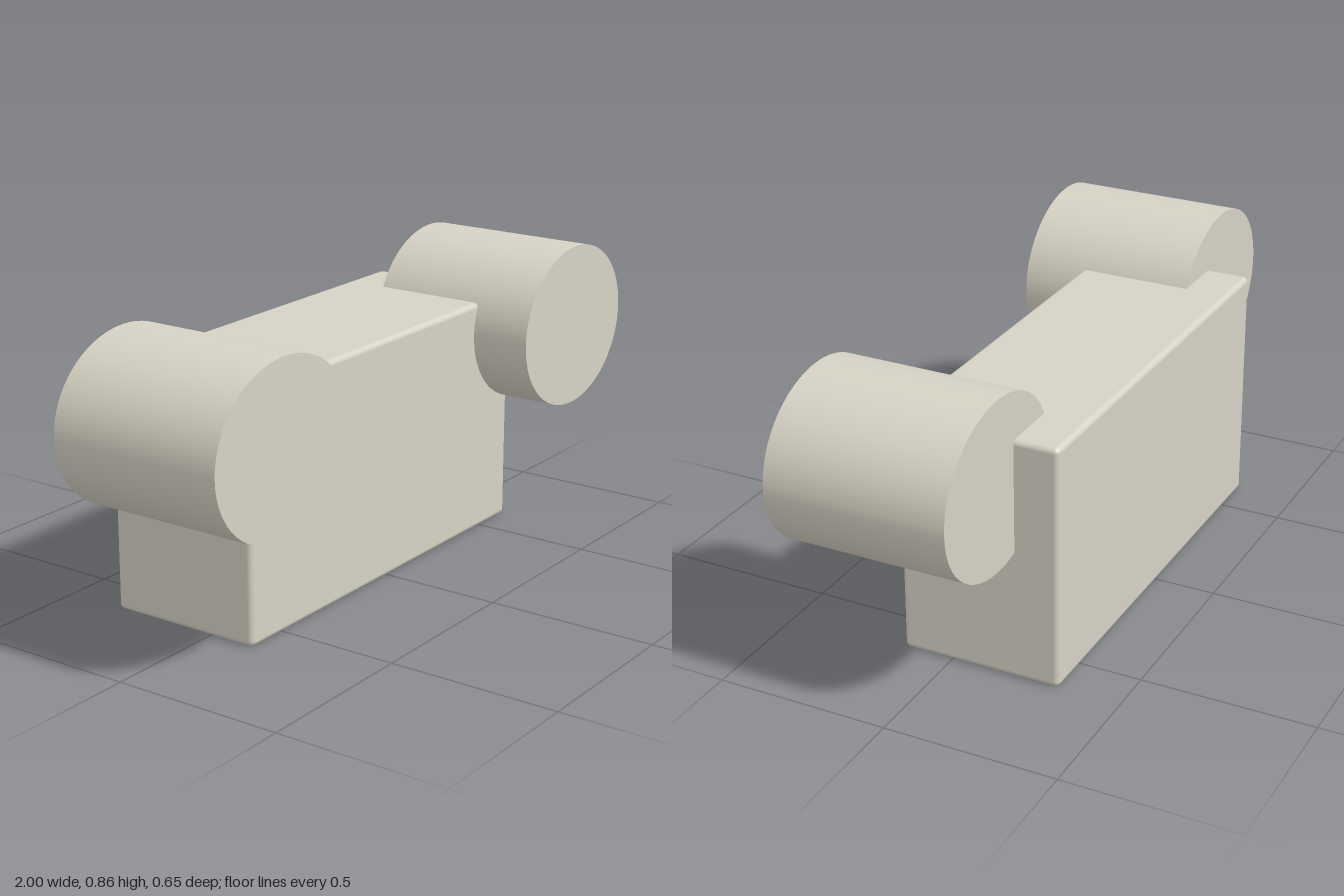
import * as THREE from 'three';
import { RoundedBoxGeometry } from 'three/addons/geometries/RoundedBoxGeometry.js';

export function createModel() {
  const group = new THREE.Group();
  const stone = new THREE.MeshStandardMaterial({ color: 0xd6d2c4 });
  stone.name = 'warm grey';

  // Main block with softly rounded edges
  const body = new THREE.Mesh(new RoundedBoxGeometry(1.276, 0.71, 0.47, 4, 0.016), stone);
  body.name = 'body';
  body.position.set(0, 0.356, -0.088);
  group.add(body);

  // Oval rolls at both upper corners, lying front to back
  const rollGeometry = new THREE.CylinderGeometry(1, 1, 0.52, 96);
  rollGeometry.rotateX(Math.PI / 2);
  rollGeometry.scale(0.279, 0.243, 1);
  for (const side of [1, -1]) {
    const roll = new THREE.Mesh(rollGeometry, stone);
    roll.name = side > 0 ? 'leftRoll' : 'rightRoll';
    roll.position.set(side * 0.721, 0.616, 0.065);
    group.add(roll);
  }
  return group;
}
